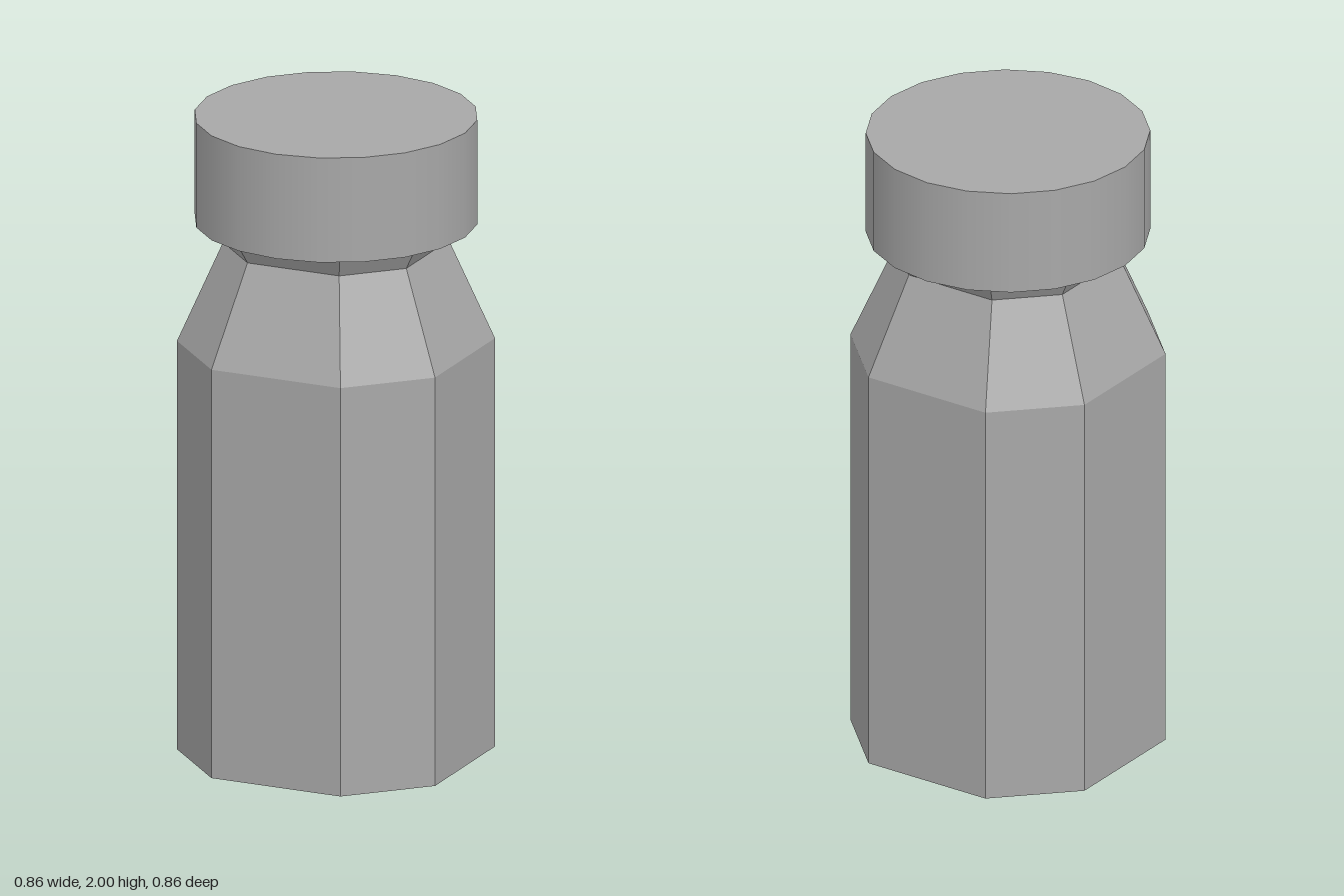
import * as THREE from 'three';

// Octagonal cross-section with long diagonal sides; h is the half-width
function ring(h, y) {
  const c = h / 2;
  return [[c, h], [h, c], [h, -c], [c, -h], [-c, -h], [-h, -c], [-h, c], [-c, h]]
    .map(([x, z]) => [x, y, z]);
}

// Flat-sided solid lofted through rings, closed at both ends
function loft(rings) {
  const pos = [];
  const tri = (a, b, c) => pos.push(...a, ...b, ...c);
  for (let r = 0; r < rings.length - 1; r++) {
    const lo = rings[r], hi = rings[r + 1];
    for (let i = 0; i < 8; i++) {
      const j = (i + 1) % 8;
      tri(lo[i], lo[j], hi[j]);
      tri(lo[i], hi[j], hi[i]);
    }
  }
  const bottom = rings[0], top = rings[rings.length - 1];
  for (let i = 1; i < 7; i++) {
    tri(bottom[0], bottom[i + 1], bottom[i]);
    tri(top[0], top[i], top[i + 1]);
  }
  const geo = new THREE.BufferGeometry();
  geo.setAttribute('position', new THREE.Float32BufferAttribute(pos, 3));
  geo.computeVertexNormals();
  return geo;
}

export function createModel() {
  const group = new THREE.Group();
  const grey = new THREE.MeshStandardMaterial({ color: 0xa8a8a8 });
  grey.name = 'grey';

  // Body, sloped shoulder and flared neck
  const body = new THREE.Mesh(
    loft([ring(0.428, 0), ring(0.428, 1.29), ring(0.304, 1.6), ring(0.342, 1.67)]), grey);
  body.name = 'bottleBody';

  // Smooth round cap
  const cap = new THREE.Mesh(new THREE.CylinderGeometry(0.428, 0.428, 0.33, 20), grey);
  cap.name = 'cap';
  cap.position.y = 1.835;

  group.add(body, cap);
  return group;
}
